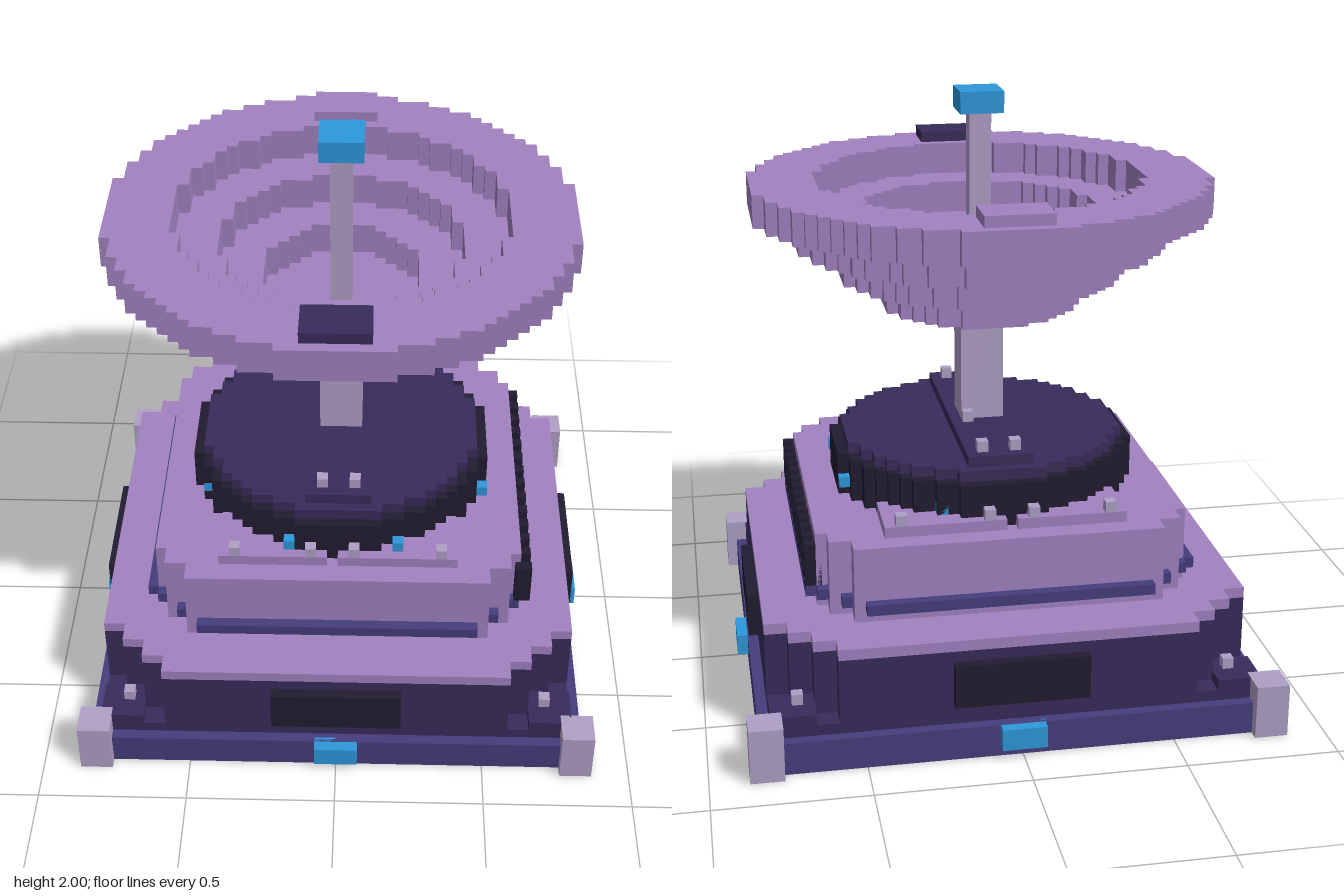
import * as THREE from 'three';

const U = 2 / 55; // one block
const material = (color) => new THREE.MeshStandardMaterial({ color, flatShading: true });
const LILAC = material(0xa182c1), PLUM = material(0x382c5a), NAVY = material(0x453d7d);
const BLACK = material(0x211c30), PALE = material(0xaf9fc6), BLUE = material(0x2d98dc);

// Half width of a block disc at row k
const round = (r) => (k) => Math.floor(Math.sqrt(r * r - (k + 0.5) ** 2) + 0.5);

// Stepped outline, mirrored in both axes, from the half width of each row
function outline(rows, width, PathType = THREE.Shape) {
  const right = [];
  for (let z = -rows; z < rows; z++) {
    const w = width(z < 0 ? -z - 1 : z);
    const last = right[right.length - 1];
    if (last && last.x === w) last.y = z + 1;
    else right.push(new THREE.Vector2(w, z), new THREE.Vector2(w, z + 1));
  }
  const left = right.map((p) => new THREE.Vector2(-p.x, p.y)).reverse();
  return new PathType([...right, ...left]);
}

export function createModel() {
  const model = new THREE.Group();

  const add = (name, geometry, mat) => {
    const mesh = new THREE.Mesh(geometry, mat);
    mesh.name = name;
    model.add(mesh);
    return mesh;
  };
  // Box between two block corners
  const box = (name, mat, x0, x1, y0, y1, z0, z1) => {
    const g = new THREE.BoxGeometry(x1 - x0, y1 - y0, z1 - z0);
    g.translate((x0 + x1) / 2, (y0 + y1) / 2, (z0 + z1) / 2);
    return add(name, g, mat);
  };
  const cube = (name, mat, x, y, z) => box(name, mat, x, x + 1, y, y + 1, z, z + 1);
  // Stepped slab between two heights
  const slab = (name, mat, shape, y0, y1) => {
    const g = new THREE.ExtrudeGeometry(shape, { depth: y1 - y0, bevelEnabled: false });
    g.rotateX(-Math.PI / 2).translate(0, y0, 0);
    return add(name, g, mat);
  };

  // Base plate and lower housing with notched corners
  box('basePlate', NAVY, -23, 23, 0, 3, -23, 23);
  const notched = (k) => (k < 16 ? 22 : k < 18 ? 20 : k < 20 ? 18 : 16);
  slab('lowerHousing', PLUM, outline(22, notched), 3, 10);
  slab('lowerDeck', LILAC, outline(22, notched), 10, 11);

  // Corner feet, ledges and bolts
  for (const sx of [-1, 1]) for (const sz of [-1, 1]) {
    const corner = (name, mat, a, b, y0, y1) => box(name, mat,
      Math.min(sx * a, sx * b), Math.max(sx * a, sx * b), y0, y1,
      Math.min(sz * a, sz * b), Math.max(sz * a, sz * b));
    corner('cornerFoot', PALE, 21, 24, 0, 5);
    corner('cornerLedge', PLUM, 16, 21.99, 3, 4);
    corner('cornerStep', PLUM, 18, 21.99, 4, 5);
    corner('cornerBolt', PALE, 19, 20, 5, 6);
  }

  // A panel and a light on each side of the base
  for (let i = 0; i < 4; i++) {
    box('sidePanel', BLACK, -6, 6, 5, 9, 21.5, 23).rotation.y = i * Math.PI / 2;
    box('sideLight', BLUE, -2, 2, 1, 3, 22.5, 24).rotation.y = i * Math.PI / 2;
  }

  // Upper housing with its trim band
  const notch = (k) => k === 14 || k === 16;
  slab('upperHousing', LILAC, outline(17, (k) => Math.min(17, notch(k) ? 30 - k : 29 - k)), 11, 18);
  slab('trimBand', NAVY, outline(18, (k) => Math.min(18, notch(k) ? 29 - k : 30 - k)), 12, 13);

  // Vent fins on the left side
  for (let z = -13; z <= 13; z += 2) box('ventFin', BLACK, 16.5, 18, 13, 17, z, z + 1);

  // Deck plates with bolts, front and back
  for (const z of [-15, 8]) {
    box('deckPlate', LILAC, -11, -1, 18, 19, z, z + 7);
    box('deckPlate', LILAC, 0, 11, 18, 19, z, z + 7);
    for (const x of [-10, -3, 1, 9]) cube('deckBolt', PALE, x, 19, z < 0 ? -15 : 14);
  }

  // Turntable drum with lights around it
  slab('drumRim', BLACK, outline(14, round(14)), 18, 22);
  slab('drumTop', PLUM, outline(13, round(13)), 22, 23);
  for (let i = 0; i < 8; i++) {
    const a = (i + 0.5) * Math.PI / 4;
    cube('drumLight', BLUE, Math.round(14 * Math.cos(a)), 19, Math.round(14 * Math.sin(a)));
  }
  box('drumPlate', PLUM, -3, 3, 23, 24, -12, 12);
  for (const x of [-2, 1]) for (const z of [-11, 10]) cube('drumBolt', PALE, x, 24, z);
  cube('drumBolt', PALE, 1, 24, -3);

  // Mast, feed rod and beacon
  box('mast', PALE, -2, 2, 23, 35, -2, 2);
  box('feedRod', PALE, -1, 1, 37, 53, -1, 1);
  box('beacon', BLUE, -2, 2, 53, 55, -2, 2);

  // Dish of stacked rings around a closed floor
  [9, 13, 17, 21].forEach((r, i) => {
    const shape = outline(r, round(r));
    if (i > 0) shape.holes.push(outline(r - 6, round(r - 6), THREE.Path));
    slab(i ? 'dishRing' : 'dishFloor', LILAC, shape, 35 + 3 * i, 38 + 3 * i);
  });
  box('frontRimPad', PLUM, -3, 3, 47, 48, 16, 20);
  box('backRimPad', LILAC, -3, 3, 47, 48, -20, -16);

  model.scale.setScalar(U);
  return model;
}
